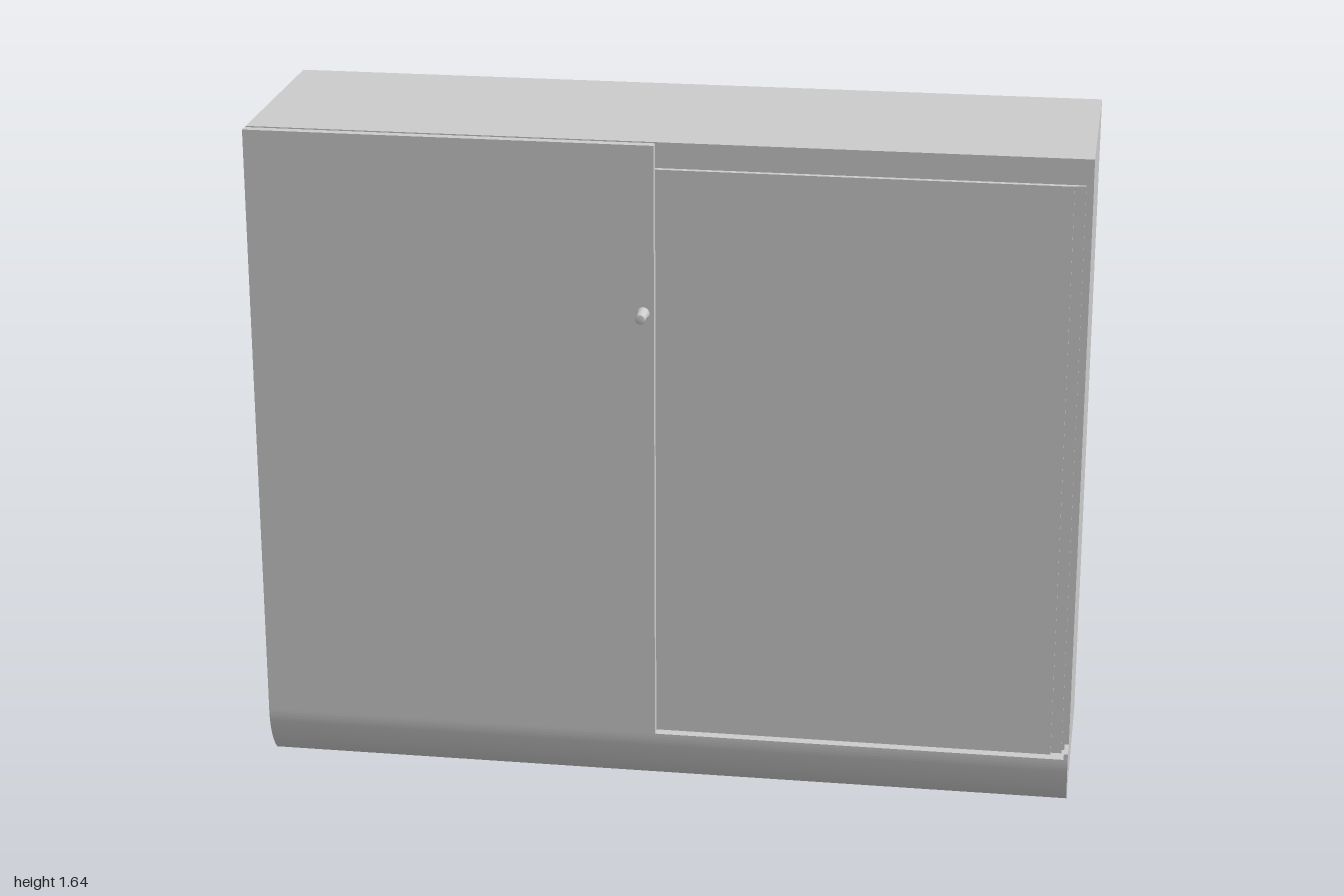
import * as THREE from 'three';

const material = new THREE.MeshStandardMaterial({ color: 0xcccccc });

function add(group, name, geometry) {
  const mesh = new THREE.Mesh(geometry, material);
  mesh.name = name;
  group.add(mesh);
  return mesh;
}

// Box given by its minimum and maximum corners
function box(group, name, [x0, y0, z0], [x1, y1, z1]) {
  const mesh = add(group, name, new THREE.BoxGeometry(x1 - x0, y1 - y0, z1 - z0));
  mesh.position.set((x0 + x1) / 2, (y0 + y1) / 2, (z0 + z1) / 2);
  return mesh;
}

export function createModel() {
  const cabinet = new THREE.Group();
  cabinet.name = 'slidingDoorCabinet';
  const top = 1.636, back = -0.313, carcassFront = 0.21, front = 0.266;

  // Carcass and the upper lip that carries the doors
  box(cabinet, 'carcass', [-1, 0, back], [1, top, carcassFront]);
  box(cabinet, 'upperLip', [-1, 1.585, carcassFront], [1, top, 0.233]);

  // Plinth with a rounded front, profile drawn in (z, y) and run along x
  const profile = new THREE.Shape();
  profile.moveTo(carcassFront, 0);
  profile.bezierCurveTo(0.245, 0.035, front, 0.08, front, 0.131);
  profile.lineTo(carcassFront, 0.131);
  profile.closePath();
  const plinthGeometry = new THREE.ExtrudeGeometry(profile, { depth: 2, bevelEnabled: false, curveSegments: 20 });
  plinthGeometry.rotateY(-Math.PI / 2);
  // Rotation sends the profile's x to z and its depth to -x
  plinthGeometry.translate(1, 0, 0);
  add(cabinet, 'plinth', plinthGeometry);

  // Small end stops closing the top and bottom tracks
  for (const side of [-1, 1]) {
    const x0 = side < 0 ? -1 : 0.99;
    box(cabinet, 'upperEndStop', [x0, 1.562, carcassFront], [x0 + 0.01, 1.585, 0.233]);
    box(cabinet, 'lowerEndStop', [x0, 0.131, carcassFront], [x0 + 0.01, 0.146, front]);
  }

  // Recessed right-hand door with a thin backing frame
  box(cabinet, 'innerDoorBacking', [-0.983, 0.131, 0.22], [0.983, 1.57, 0.23]);
  box(cabinet, 'innerDoor', [-0.06, 0.131, 0.23], [0.957, 1.572, 0.241]);

  // Outer door overlapping the front
  box(cabinet, 'outerDoor', [-1, 0.131, 0.243], [-0.017, top, front]);

  // Turned knob on the outer door
  const knobProfile = [[0, 0], [0.016, 0], [0.016, 0.006], [0.0145, 0.008], [0.012, 0.047], [0.01, 0.049], [0, 0.049]]
    .map(([r, y]) => new THREE.Vector2(r, y));
  const knob = add(cabinet, 'knob', new THREE.LatheGeometry(knobProfile, 24));
  knob.rotation.x = Math.PI / 2;
  knob.position.set(-0.043, 1.226, front);

  return cabinet;
}
